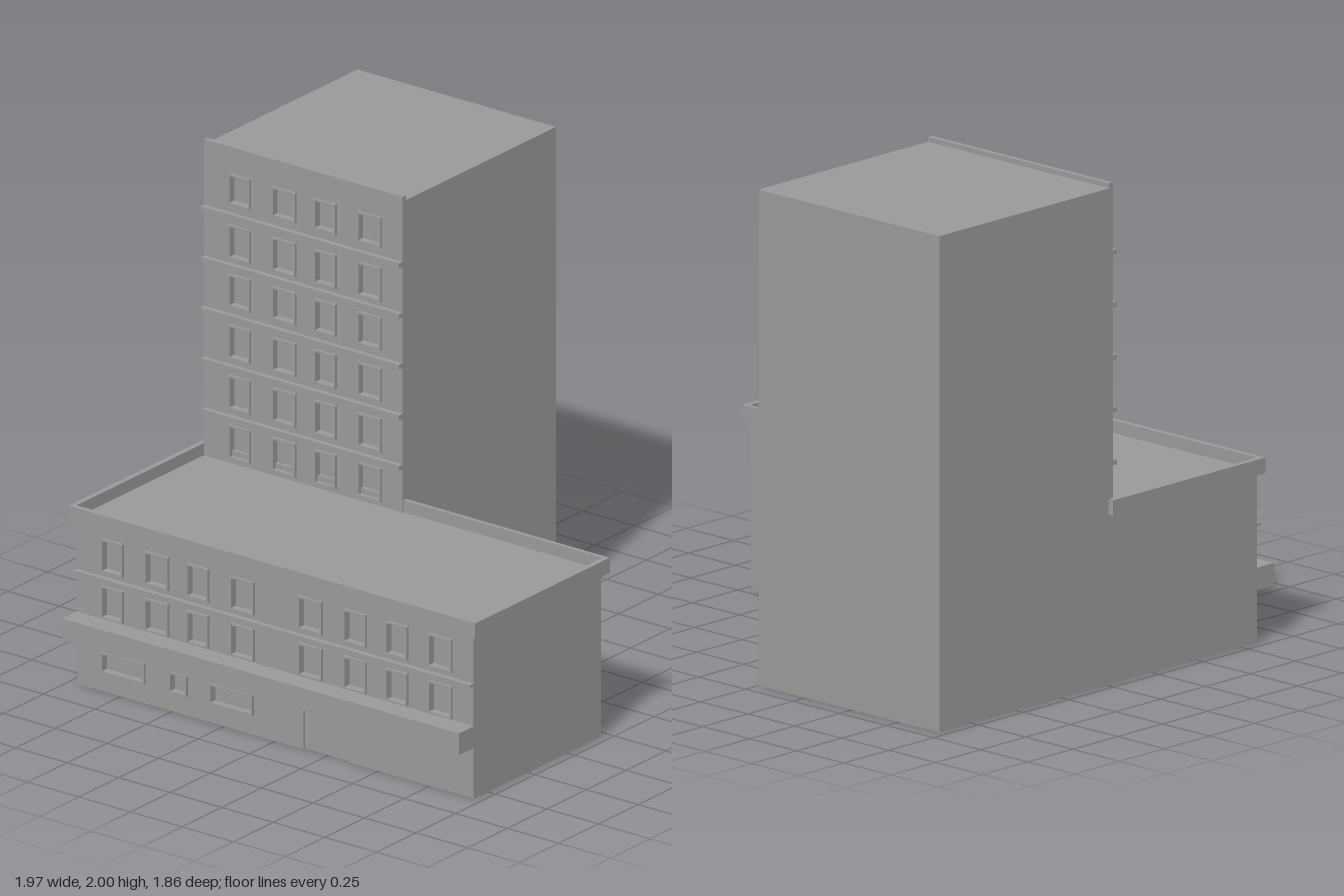
import * as THREE from 'three';

const material = new THREE.MeshStandardMaterial({ color: 0x999999, flatShading: true, side: THREE.DoubleSide });
// Box face order: +x, -x, +y, -y, +z, -z
const BOTTOM = 3, TOP = 2, FRONT = 4, BACK = 5;

function add(parent, name, geometry) {
  const mesh = new THREE.Mesh(geometry, material);
  mesh.name = name;
  parent.add(mesh);
  return mesh;
}

// Box given by its bounds, with some faces left open
function box(parent, name, [x0, x1], [y0, y1], [z0, z1], open = []) {
  const g = new THREE.BoxGeometry(x1 - x0, y1 - y0, z1 - z0);
  const index = Array.from(g.index.array).filter((_, i) => !open.includes(Math.floor(i / 6)));
  g.setIndex(index);
  g.clearGroups();
  g.translate((x0 + x1) / 2, (y0 + y1) / 2, (z0 + z1) / 2);
  return add(parent, name, g);
}

function rect(x0, x1, y0, y1, Type = THREE.Shape) {
  return new Type([[x0, y0], [x1, y0], [x1, y1], [x0, y1]].map(p => new THREE.Vector2(...p)));
}

// Projecting frame around a recessed pane
function addWindow(parent, [x0, x1], [y0, y1], z) {
  const t = 0.008, back = 0.02, out = 0.011;
  const win = new THREE.Group();
  win.name = 'window';
  const ring = rect(x0, x1, y0, y1);
  ring.holes.push(rect(x0 + t, x1 - t, y0 + t, y1 - t, THREE.Path));
  add(win, 'windowFrame', new THREE.ExtrudeGeometry(ring, { depth: back + out, bevelEnabled: false })
    .translate(0, 0, z - back));
  add(win, 'windowPane', new THREE.ShapeGeometry(rect(x0, x1, y0, y1)).translate(0, 0, z - back));
  parent.add(win);
}

// One storey of front wall, pierced by a row of windows
function storey(parent, [x0, x1], [y0, y1], z, columns = [], rows = [0, 0]) {
  const wall = rect(x0, x1, y0, y1);
  for (const c of columns) {
    wall.holes.push(rect(c[0], c[1], rows[0], rows[1], THREE.Path));
    addWindow(parent, c, rows, z);
  }
  add(parent, 'frontWall', new THREE.ShapeGeometry(wall).translate(0, 0, z));
}

export function createModel() {
  const model = new THREE.Group();
  model.name = 'building';
  const L = -0.963, R = 0.962, towerZ = 0.035, podiumZ = 0.837;
  const towerCols = [[-0.84, -0.735], [-0.63, -0.515], [-0.425, -0.32], [-0.215, -0.1]];
  const podiumCols = [...towerCols, [0.115, 0.23], [0.335, 0.445], [0.54, 0.645], [0.745, 0.86]];

  // Tower: shell, storeys separated by ledges, front parapet
  const tower = new THREE.Group();
  tower.name = 'tower';
  box(tower, 'towerShell', [L, 0], [0, 1.98], [-0.93, towerZ], [BOTTOM, FRONT]);
  const ledges = [0.87, 1.08, 1.29, 1.5, 1.71];
  const windowRows = [[0.71, 0.85], [0.915, 1.055], [1.125, 1.265], [1.34, 1.475], [1.54, 1.68], [1.765, 1.89]];
  windowRows.forEach((row, i) => {
    const y0 = i ? ledges[i - 1] + 0.02 : 0.68;
    const y1 = ledges[i] ?? 1.98;
    storey(tower, [L, 0], [y0, y1], towerZ, towerCols, row);
  });
  for (const y of ledges) box(tower, 'ledge', [L, 0], [y, y + 0.02], [towerZ, 0.057], [BACK]);
  box(tower, 'towerParapet', [L, 0], [1.98, 2], [0.015, towerZ]);
  model.add(tower);

  // Podium: side walls, back wall beside the tower, open underneath
  const podium = new THREE.Group();
  podium.name = 'podium';
  box(podium, 'sideWalls', [L, R], [0, 0.68], [towerZ, podiumZ], [TOP, BOTTOM, FRONT, BACK]);
  add(podium, 'backWall', new THREE.ShapeGeometry(rect(-R, 0, 0, 0.68)).rotateY(Math.PI).translate(0, 0, towerZ));

  // Ground floor with shop windows and a shallow recessed entrance
  const door = [0.135, 0.355];
  storey(podium, [L, door[0]], [0, 0.21], podiumZ, [[-0.84, -0.63], [-0.51, -0.425], [-0.315, -0.105]], [0.08, 0.165]);
  storey(podium, [door[1], R], [0, 0.21], podiumZ);
  box(podium, 'entrance', door, [0, 0.21], [podiumZ - 0.012, podiumZ], [FRONT, BOTTOM]);

  // Canopy, upper floors and ledge
  box(podium, 'canopy', [L, R], [0.21, 0.3], [podiumZ, 0.93], [BACK]);
  storey(podium, [L, R], [0.3, 0.465], podiumZ, podiumCols, [0.305, 0.44]);
  box(podium, 'ledge', [L, R], [0.465, 0.477], [podiumZ, 0.86], [BACK]);
  storey(podium, [L, R], [0.477, 0.68], podiumZ, podiumCols, [0.497, 0.635]);

  // Flat roof inside an overhanging rim
  box(podium, 'podiumRoof', [-0.967, 0.967], [0.678, 0.69], [0.02, 0.842]);
  const rim = rect(-0.987, 0.987, -0.86, -0.012);
  rim.holes.push(rect(-0.964, 0.964, -0.837, -0.03, THREE.Path));
  add(podium, 'roofRim', new THREE.ExtrudeGeometry(rim, { depth: 0.063, bevelEnabled: false })
    .rotateX(-Math.PI / 2).translate(0, 0.677, 0));
  model.add(podium);

  return model;
}
